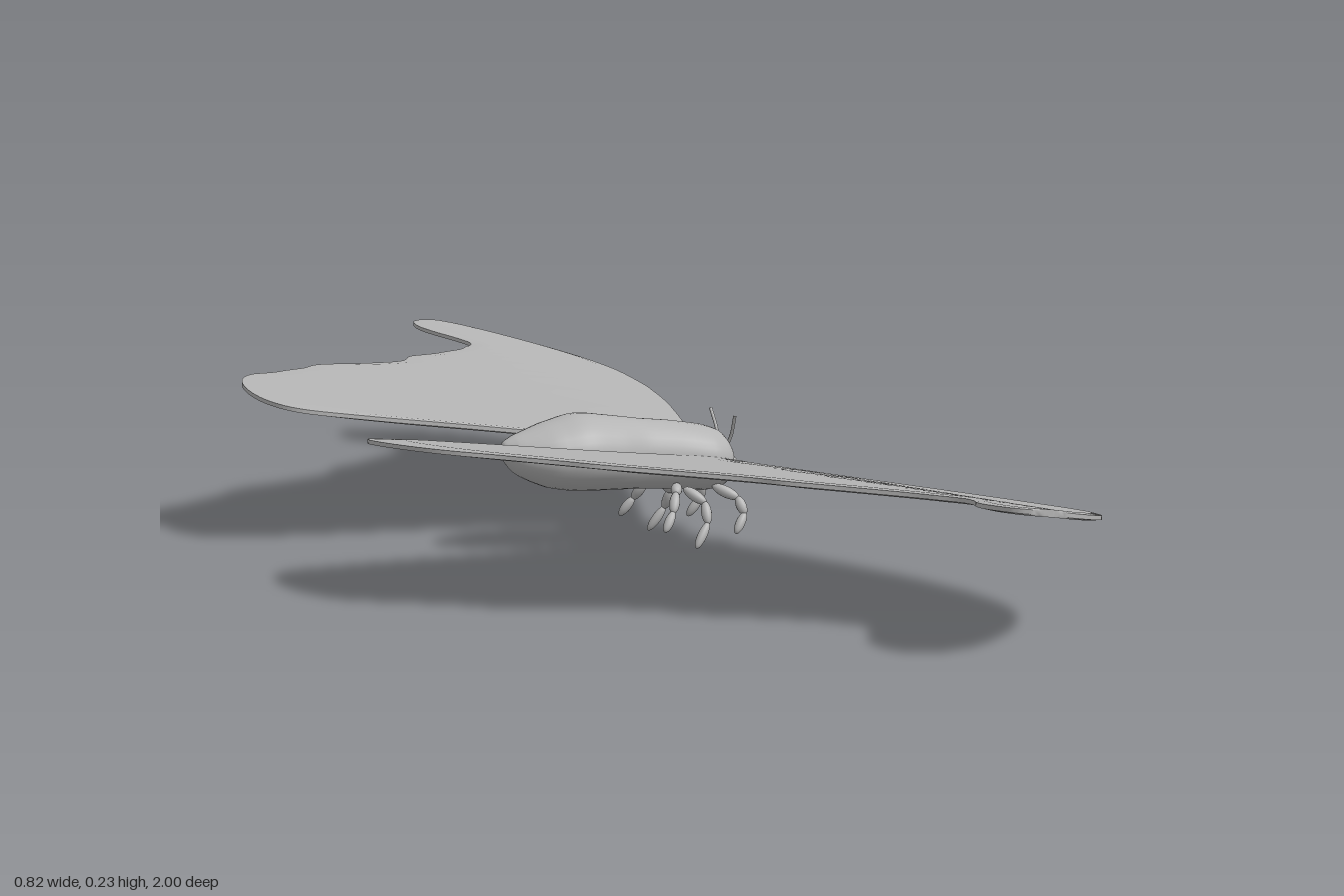
import * as THREE from 'three';
import { toCreasedNormals } from 'three/addons/utils/BufferGeometryUtils.js';

const grey = new THREE.MeshStandardMaterial({ color: 0xb4b4b4 });
grey.name = 'grey';

const V = (x, y, z) => new THREE.Vector3(x, y, z);

function mesh(name, geometry) {
  const m = new THREE.Mesh(geometry, grey);
  m.name = name;
  return m;
}

// Joins closed rings of equal point count; flip reverses the facing.
function loft(rings, flip = false) {
  const n = rings[0].length;
  const index = [];
  for (let i = 0; i < rings.length - 1; i++) {
    for (let j = 0; j < n; j++) {
      const a = i * n + j, b = i * n + (j + 1) % n, c = a + n, d = b + n;
      if (flip) index.push(a, c, b, b, c, d);
      else index.push(a, b, c, b, d, c);
    }
  }
  const g = new THREE.BufferGeometry();
  g.setAttribute('position', new THREE.Float32BufferAttribute(rings.flat().flatMap(p => p.toArray()), 3));
  g.setIndex(index);
  g.computeVertexNormals();
  return g;
}

// Abdomen, thorax and head in one skin: x, centre height, half height, half width
function body() {
  const stations = [
    [-0.121, 0.155, 0.002, 0.002], [-0.117, 0.152, 0.013, 0.013], [-0.10, 0.146, 0.028, 0.031],
    [-0.05, 0.142, 0.048, 0.059], [0, 0.143, 0.057, 0.068], [0.05, 0.139, 0.055, 0.062],
    [0.10, 0.134, 0.052, 0.051], [0.15, 0.129, 0.051, 0.051], [0.20, 0.122, 0.049, 0.057],
    [0.225, 0.119, 0.043, 0.051], [0.239, 0.117, 0.029, 0.036], [0.244, 0.117, 0.002, 0.002],
  ];
  const place = new THREE.CatmullRomCurve3(stations.map(s => V(s[0], s[1], 0)));
  const size = new THREE.CatmullRomCurve3(stations.map(s => V(s[2], s[3], 0)));
  const rings = [];
  for (let i = 0; i <= 55; i++) {
    const p = place.getPoint(i / 55), r = size.getPoint(i / 55);
    rings.push(Array.from({ length: 32 }, (_, j) => {
      const a = j / 32 * Math.PI * 2;
      return V(p.x, p.y + r.x * Math.cos(a), r.y * Math.sin(a));
    }));
  }
  return mesh('body', loft(rings));
}

// Wing sections along the span: distance from the middle, trailing x, leading x
const span = [
  [0.045, 0.19, 0.215], [0.06, 0.14, 0.223], [0.08, 0.07, 0.231], [0.10, 0, 0.239], [0.115, -0.12, 0.245],
  [0.13, -0.28, 0.251], [0.15, -0.375, 0.259], [0.19, -0.404, 0.275], [0.26, -0.41, 0.303],
  [0.34, -0.392, 0.331], [0.39, -0.36, 0.347], [0.43, -0.30, 0.36], [0.47, -0.25, 0.371],
  [0.515, -0.20, 0.382], [0.56, -0.10, 0.391], [0.595, -0.035, 0.398], [0.65, 0.01, 0.403],
  [0.70, 0.08, 0.405], [0.73, 0.115, 0.404], [0.77, 0.155, 0.396], [0.81, 0.18, 0.384],
  [0.85, 0.171, 0.364], [0.89, 0.152, 0.339], [0.93, 0.14, 0.307], [0.97, 0.145, 0.265],
  [0.99, 0.158, 0.236], [1.0, 0.185, 0.205],
];
function wing(side) {
  const curve = new THREE.CatmullRomCurve3(span.map(s => V(s[1], s[0], s[2])));
  const rings = [], across = 12, steps = 130;
  for (let i = 0; i <= steps; i++) {
    const s = curve.getPoint(i / steps);
    const z = Math.min(s.y, 1);
    // faintly scalloped trailing edge
    const wave = z > 0.4 && z < 0.78 ? 0.002 * Math.sin(z * 95) : 0;
    const top = [], bottom = [];
    for (let j = 0; j <= across; j++) {
      const x = THREE.MathUtils.lerp(s.x + wave, s.z, j / across);
      const y = 0.146 + 0.08 * z - 0.13 * x - 0.05 * Math.max(0, x - 0.2);
      const t = j === 0 || j === across ? 0.003 : 0.005;
      top.push(V(x, y + t, side * z));
      bottom.unshift(V(x, y - t, side * z));
    }
    rings.push([...top, ...bottom]);
  }
  // close both ends onto the section's middle line
  const collapse = r => r.map((p, k) => p.clone().add(r[r.length - 1 - k]).multiplyScalar(0.5));
  rings.unshift(collapse(rings[0]));
  rings.push(collapse(rings[rings.length - 1]));
  return mesh(side > 0 ? 'rightWing' : 'leftWing', toCreasedNormals(loft(rings, side > 0), 0.6));
}

// Tapered limb segment between two points
function segment(name, a, b, radius) {
  const m = mesh(name, new THREE.SphereGeometry(1, 14, 10));
  m.scale.set(radius, a.distanceTo(b) / 2 + radius * 0.3, radius);
  m.position.copy(a).add(b).multiplyScalar(0.5);
  m.quaternion.setFromUnitVectors(V(0, 1, 0), b.clone().sub(a).normalize());
  return m;
}

// Legs as joint positions on the +z side
const legs = {
  frontLeg: [[0.205, 0.083, 0.035], [0.232, 0.068, 0.06], [0.237, 0.046, 0.073], [0.22, 0.02, 0.08]],
  middleLeg: [[0.158, 0.082, 0.035], [0.18, 0.064, 0.057], [0.177, 0.036, 0.073], [0.155, 0.003, 0.081]],
  rearLeg: [[0.145, 0.088, 0.035], [0.135, 0.08, 0.052], [0.123, 0.055, 0.068], [0.106, 0.03, 0.077]],
};

export function createModel() {
  const model = new THREE.Group();
  model.name = 'moth';
  model.add(body());
  for (const side of [1, -1]) {
    model.add(wing(side));
    // Legs
    for (const [name, joints] of Object.entries(legs)) {
      const leg = new THREE.Group();
      leg.name = name;
      const p = joints.map(([x, y, z]) => V(x, y, side * z));
      for (let i = 0; i < 3; i++) leg.add(segment('legSegment', p[i], p[i + 1], 0.0085 - i * 0.0007));
      model.add(leg);
    }
    // Eye
    const eye = mesh('eye', new THREE.SphereGeometry(1, 18, 12));
    eye.scale.set(0.01, 0.018, 0.015);
    eye.position.set(0.235, 0.108, side * 0.034);
    model.add(eye);
    // Antenna
    const path = new THREE.CatmullRomCurve3([
      V(0.232, 0.13, side * 0.013), V(0.239, 0.152, side * 0.022), V(0.237, 0.187, side * 0.04),
    ]);
    model.add(mesh('antenna', new THREE.TubeGeometry(path, 16, 0.0025, 8)));
  }
  return model;
}
